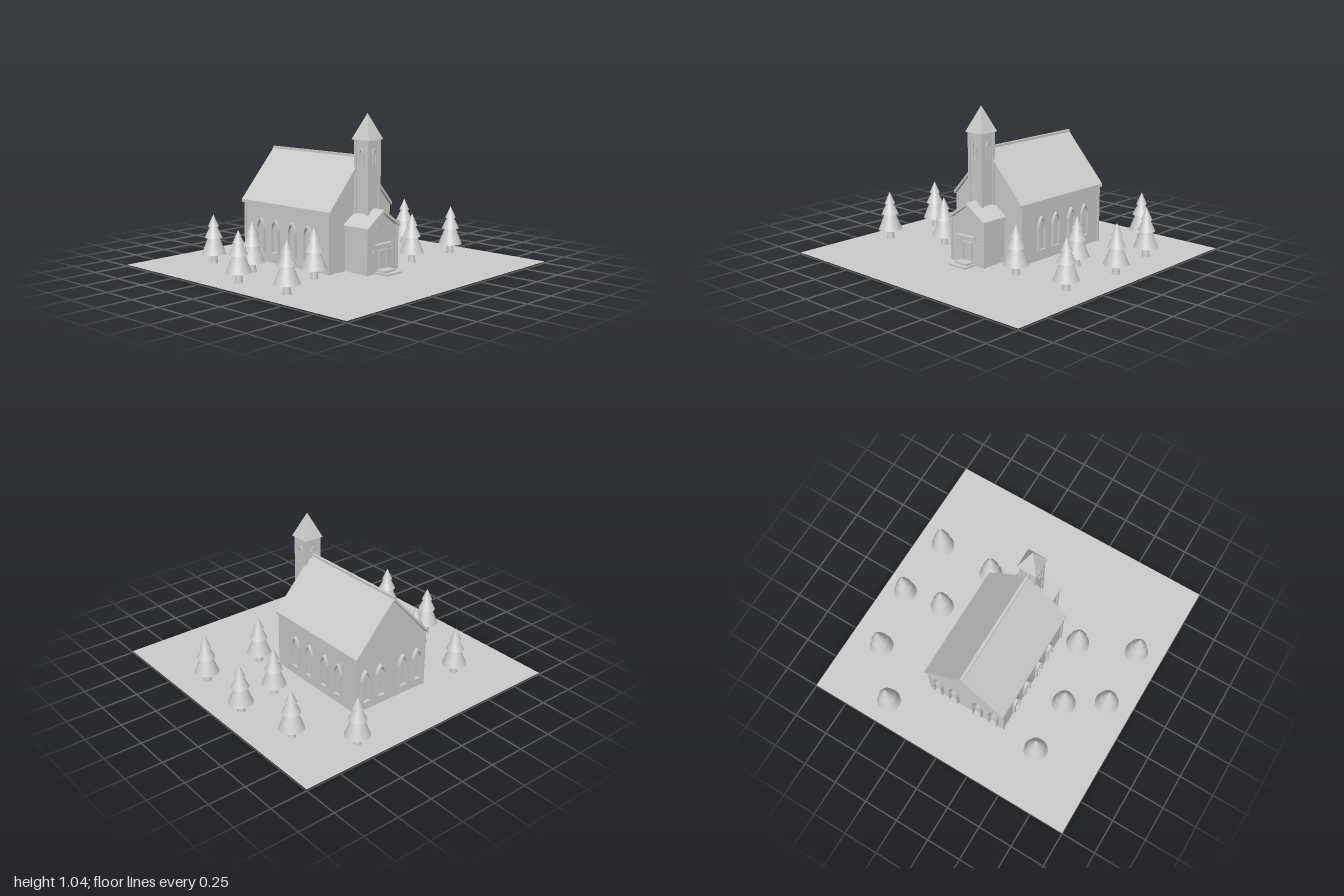
import * as THREE from 'three';

const mat = new THREE.MeshStandardMaterial({ color: 0xcccccc });
const flat = new THREE.MeshStandardMaterial({ color: 0xcccccc, flatShading: true });

function add(parent, name, geo, x = 0, y = 0, z = 0, material = mat) {
  const mesh = new THREE.Mesh(geo, material);
  mesh.name = name;
  mesh.position.set(x, y, z);
  parent.add(mesh);
  return mesh;
}

// Box given by its lowest and highest corners
function block(parent, name, x0, x1, y0, y1, z0, z1) {
  return add(parent, name, new THREE.BoxGeometry(x1 - x0, y1 - y0, z1 - z0),
    (x0 + x1) / 2, (y0 + y1) / 2, (z0 + z1) / 2);
}

// Outline in (z, y), extruded along x
function prism(parent, name, points, x0, x1) {
  const shape = new THREE.Shape(points.map(p => new THREE.Vector2(...p)));
  const geo = new THREE.ExtrudeGeometry(shape, { depth: x1 - x0, bevelEnabled: false });
  return add(parent, name, geo.rotateY(Math.PI / 2), x0);
}

function gabled(parent, name, half, eave, ridge, x0, x1) {
  return prism(parent, name, [[-half, 0.005], [half, 0.005], [half, eave], [0, ridge], [-half, eave]], x0, x1);
}

function roof(parent, name, half, eave, ridge, t, x0, x1) {
  return prism(parent, name, [[half, eave], [0, ridge], [-half, eave],
    [-half, eave - t], [0, ridge - t], [half, eave - t]], x0, x1);
}

// Pointed arch outline standing on y = base
function arch(Kind, half, base, spring, top) {
  const s = new Kind();
  const mid = spring + (top - spring) * 0.6;
  s.moveTo(-half, base);
  s.lineTo(half, base);
  s.lineTo(half, spring);
  s.quadraticCurveTo(half * 0.85, mid, 0, top);
  s.quadraticCurveTo(-half * 0.85, mid, -half, spring);
  s.closePath();
  return s;
}

// Raised arched frame around a pane, facing +z before turning
function archWindow(parent, half, h, border, depth, x, y, z, turn) {
  const g = new THREE.Group();
  g.name = 'archedWindow';
  const spring = h * 0.7;
  const frame = arch(THREE.Shape, half, 0, spring, h);
  frame.holes.push(arch(THREE.Path, half - border, border, spring, h - border * 1.6));
  add(g, 'windowFrame', new THREE.ExtrudeGeometry(frame, { depth, bevelEnabled: false, curveSegments: 6 }));
  add(g, 'windowPane', new THREE.ShapeGeometry(arch(THREE.Shape, half - border, border, spring, h - border * 1.6), 6), 0, 0, 0.002);
  g.position.set(x, y, z);
  g.rotation.y = turn;
  parent.add(g);
}

function tree(x, z) {
  const g = new THREE.Group();
  g.name = 'tree';
  add(g, 'trunk', new THREE.CylinderGeometry(0.018, 0.028, 0.08, 20), 0, 0.04);
  // bottom y, top y, bottom radius, top radius
  const tiers = [[0.075, 0.19, 0.083, 0.037], [0.187, 0.265, 0.06, 0.022], [0.262, 0.345, 0.037, 0]];
  for (const [y0, y1, r0, r1] of tiers)
    add(g, 'foliageTier', new THREE.CylinderGeometry(r1, r0, y1 - y0, 24), 0, (y0 + y1) / 2);
  g.position.set(x, 0, z);
  return g;
}

export function createModel() {
  const root = new THREE.Group();
  root.name = 'churchyard';

  // Ground
  const ground = add(root, 'ground', new THREE.PlaneGeometry(2, 2).rotateX(-Math.PI / 2), 0, 0.01, 0,
    new THREE.MeshStandardMaterial({ color: 0xcccccc, side: THREE.DoubleSide }));
  ground.receiveShadow = true;

  // Nave
  const nave = new THREE.Group();
  nave.name = 'nave';
  root.add(nave);
  gabled(nave, 'naveWalls', 0.293, 0.41, 0.742, -0.592, 0.2);
  roof(nave, 'naveRoof', 0.307, 0.42, 0.755, 0.022, -0.615, 0.22);
  block(nave, 'ridgeCap', -0.615, 0.205, 0.748, 0.763, -0.01, 0.01);
  for (const x of [-0.59, 0.197])
    for (const z of [-0.293, 0.293])
      block(nave, 'cornerPost', x - 0.008, x + 0.008, 0.005, 0.405, z - 0.008, z + 0.008);
  for (const x of [-0.43, -0.29, -0.13, 0.015]) {
    archWindow(nave, 0.036, 0.235, 0.009, 0.02, x, 0.078, 0.293, 0);
    archWindow(nave, 0.036, 0.235, 0.009, 0.02, x, 0.078, -0.293, Math.PI);
  }
  for (const z of [-0.22, -0.095, 0.095, 0.22])
    archWindow(nave, 0.036, 0.235, 0.009, 0.028, -0.592, 0.078, z, -Math.PI / 2);

  // Tower
  const tower = new THREE.Group();
  tower.name = 'tower';
  tower.position.x = 0.265;
  root.add(tower);
  block(tower, 'towerShaft', -0.054, 0.054, 0.01, 0.872, -0.054, 0.054);
  for (const x of [-0.052, 0.052])
    for (const z of [-0.052, 0.052])
      block(tower, 'towerCornerPost', x - 0.01, x + 0.01, 0.01, 0.872, z - 0.01, z + 0.01);
  for (let i = 0; i < 4; i++) {
    const a = i * Math.PI / 2;
    archWindow(tower, 0.018, 0.115, 0.005, 0.009, Math.sin(a) * 0.054, 0.698, Math.cos(a) * 0.054, a);
  }
  add(tower, 'spire', new THREE.ConeGeometry(0.073 * Math.SQRT2, 0.17, 4).rotateY(Math.PI / 4), 0, 0.955, 0, flat);

  // Porch
  const porch = new THREE.Group();
  porch.name = 'porch';
  root.add(porch);
  gabled(porch, 'porchWalls', 0.143, 0.3, 0.402, 0.19, 0.395);
  roof(porch, 'porchRoof', 0.158, 0.318, 0.424, 0.022, 0.2, 0.412);
  for (const s of [-1, 1]) {
    block(porch, 'porchPost', 0.385, 0.403, 0.005, 0.305, s * 0.146 - 0.008, s * 0.146 + 0.008);
    block(porch, 'wallLamp', 0.39, 0.415, 0.152, 0.162, s * 0.095 - 0.005, s * 0.095 + 0.005);
    block(porch, 'gableBracket', 0.39, 0.408, 0.318, 0.328, s * 0.06 - 0.008, s * 0.06 + 0.008);
    block(porch, 'doorJamb', 0.39, 0.408, 0.035, 0.162, s * 0.036 - 0.004, s * 0.036 + 0.004);
  }
  block(porch, 'doorLintel', 0.39, 0.408, 0.152, 0.162, -0.04, 0.04);
  block(porch, 'door', 0.39, 0.399, 0.035, 0.152, -0.033, 0.033);
  block(porch, 'doorCanopy', 0.39, 0.428, 0.195, 0.206, -0.075, 0.075);

  // Steps
  block(porch, 'lowerStep', 0.39, 0.5, 0.005, 0.022, -0.073, 0.073);
  block(porch, 'upperStep', 0.39, 0.465, 0.02, 0.036, -0.056, 0.056);

  // Trees
  const spots = [[-0.53, -0.75], [-0.1, -0.83], [0.35, -0.795], [-0.84, -0.485], [-0.06, -0.54], [0.34, -0.375],
    [0.2, 0.43], [-0.615, 0.565], [-0.23, 0.565], [-0.075, 0.82], [0.355, 0.82]];
  for (const [x, z] of spots) root.add(tree(x, z));

  return root;
}
